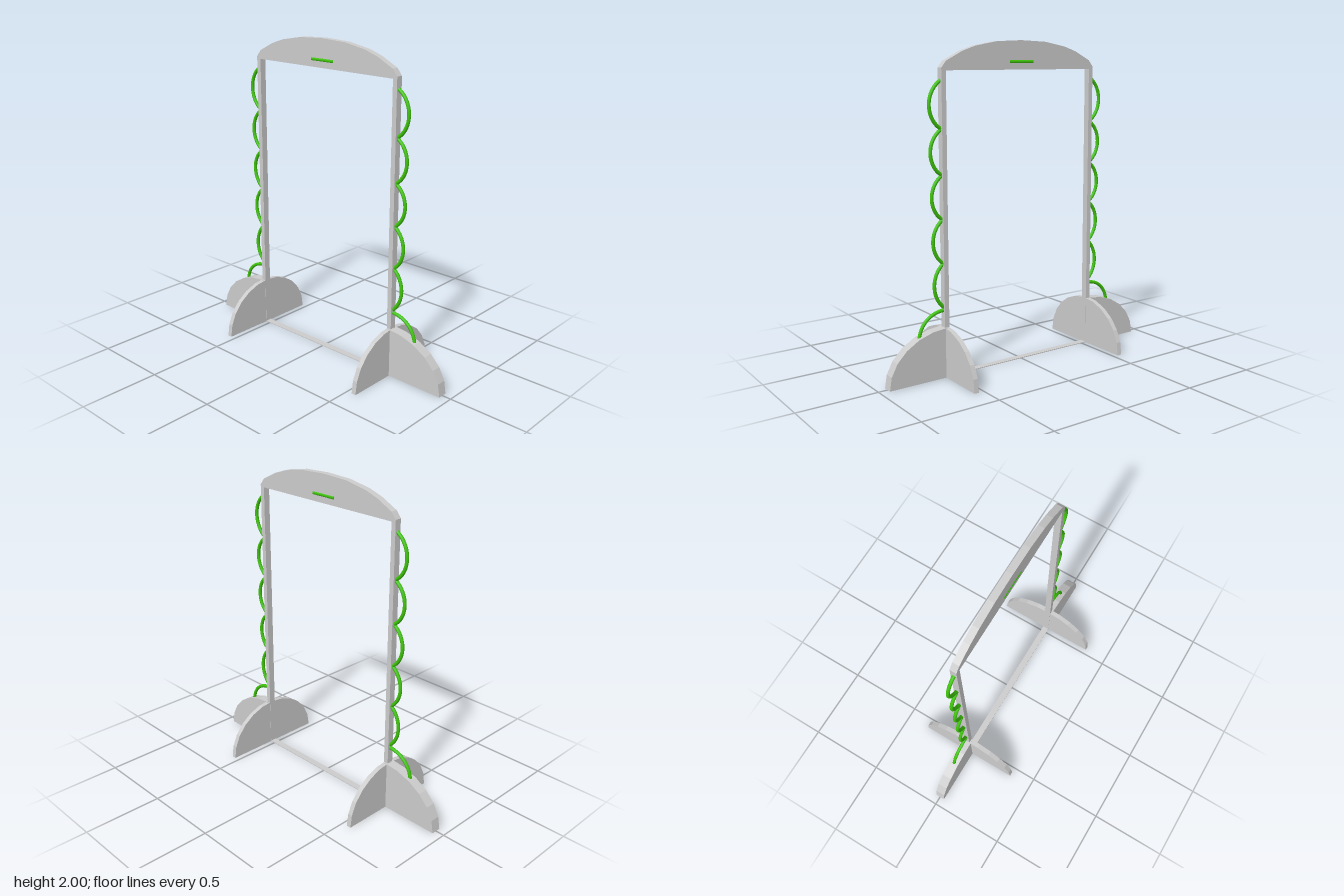
import * as THREE from 'three';

const grey = new THREE.MeshStandardMaterial({ color: 0xcccccc, flatShading: true });
const green = new THREE.MeshStandardMaterial({ color: 0x3fc40c });

// Flat plate cut from an outline, centred on its thickness
function plate(points, depth) {
  const shape = new THREE.Shape(points.map(([x, y]) => new THREE.Vector2(x, y)));
  return new THREE.ExtrudeGeometry(shape, { depth, bevelEnabled: false }).translate(0, 0, -depth / 2);
}

// Faceted elliptical arc from angle a0 to a1
function arc(rx, ry, a0, a1, n) {
  return Array.from({ length: n + 1 }, (_, i) => {
    const a = a0 + (a1 - a0) * i / n;
    return [rx * Math.cos(a), ry * Math.sin(a)];
  });
}

export function createModel() {
  const group = new THREE.Group();
  const add = (name, geometry, material, x = 0, y = 0, z = 0) => {
    const mesh = new THREE.Mesh(geometry, material);
    mesh.name = name;
    mesh.position.set(x, y, z);
    group.add(mesh);
    return mesh;
  };

  // Curved top beam
  const half = [[0.562, 1.825], [0.562, 1.84], [0.53, 1.88], [0.42, 1.935], [0.33, 1.965], [0.18, 1.992]];
  const mirrored = half.map(([x, y]) => [-x, y]).reverse();
  add('topBeam', plate([...half, [0, 2], ...mirrored], 0.042), grey);

  // Short green bars on both faces of the beam
  for (const s of [1, -1]) {
    const bar = new THREE.CylinderGeometry(0.013, 0.013, 0.175, 12).rotateZ(Math.PI / 2);
    add(s > 0 ? 'frontBar' : 'backBar', bar, green, 0, 1.872, s * 0.012);
  }

  // Thin floor strip joining the feet
  add('floorStrip', new THREE.BoxGeometry(1.1, 0.005, 0.042), grey, 0, 0.0025, 0);

  // Joints between the side loops, from top to bottom
  const joints = [1.77, 1.49, 1.222, 0.96, 0.697, 0.43];
  for (const s of [1, -1]) {
    const side = s > 0 ? 'left' : 'right';
    add(side + 'Post', new THREE.BoxGeometry(0.03, 1.83, 0.042), grey, s * 0.547, 0.915, 0);

    // Half-round foot running front to back
    const cross = plate(arc(0.343, 0.31, 0, Math.PI, 12), 0.03).rotateY(Math.PI / 2);
    add(side + 'CrossFoot', cross, grey, s * 0.549, 0, 0);

    // Quarter-round foot running outwards
    const quarter = [[0, 0], ...arc(0.395, 0.31, 0, Math.PI / 2, 6)];
    const outer = plate(quarter, 0.063);
    if (s < 0) outer.rotateY(Math.PI);
    add(side + 'OuterFoot', outer, grey, s * 0.547, 0, 0);

    // Green loops bulging out from the post
    for (let i = 0; i < joints.length - 1; i++) {
      const h = (joints[i] - joints[i + 1]) / 2;
      const bulge = 0.078 - i * 0.004;
      const r = (h * h + bulge * bulge) / (2 * bulge);
      const a = Math.asin(h / r);
      const path = new THREE.CatmullRomCurve3(Array.from({ length: 9 }, (_, k) => {
        const t = a - 2 * a * k / 8;
        return new THREE.Vector3(s * (0.557 + bulge - r + r * Math.cos(t)), joints[i + 1] + h + r * Math.sin(t), 0);
      }));
      add(side + 'Loop' + (i + 1), new THREE.TubeGeometry(path, 24, 0.011, 10), green);
    }

    // Last curve drops onto the outer foot
    const tail = new THREE.CubicBezierCurve3(
      new THREE.Vector3(s * 0.55, 0.412, 0), new THREE.Vector3(s * 0.64, 0.412, 0),
      new THREE.Vector3(s * 0.715, 0.36, 0), new THREE.Vector3(s * 0.727, 0.265, 0));
    add(side + 'TailLoop', new THREE.TubeGeometry(tail, 20, 0.011, 10), green);
  }
  return group;
}
